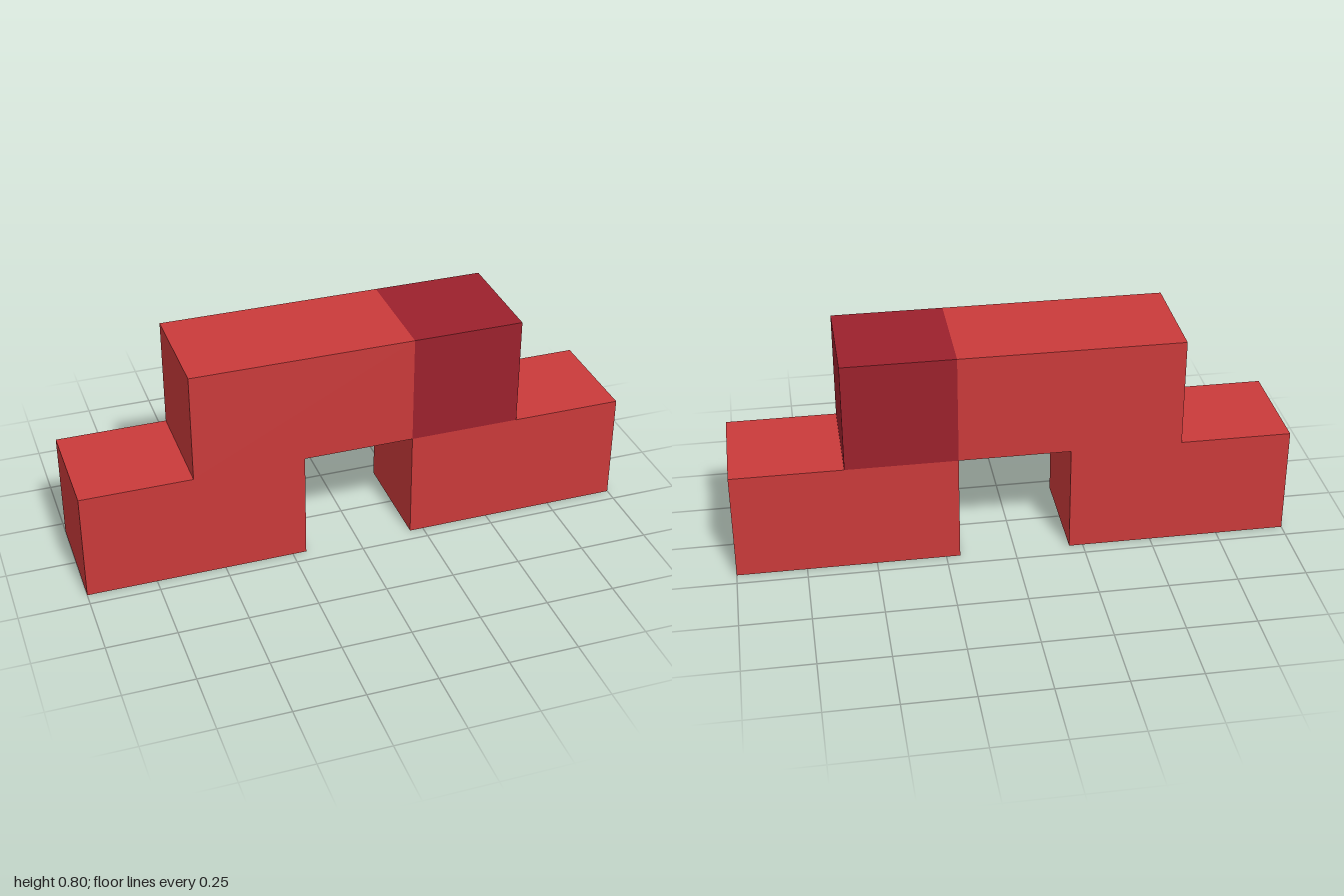
import * as THREE from 'three';

const UNIT = 0.4; // edge length of one cube

export function createModel() {
  const model = new THREE.Group();
  model.name = 'steppedBlockArch';

  const red = new THREE.MeshStandardMaterial({ color: 0xc93a3a });
  red.name = 'red';
  const darkRed = new THREE.MeshStandardMaterial({ color: 0x9b212c });
  darkRed.name = 'darkRed';

  // A row of cubes, centred at x, on the given layer
  const addBlock = (name, cubes, x, layer, material) => {
    const block = new THREE.Mesh(new THREE.BoxGeometry(cubes * UNIT, UNIT, UNIT), material);
    block.name = name;
    block.position.set(x, (layer + 0.5) * UNIT, 0);
    model.add(block);
  };

  // Two feet with a gap between them
  addBlock('leftFoot', 2, 0.6, 0, red);
  addBlock('rightFoot', 2, -0.6, 0, red);

  // Bridge across the feet, ending in a dark cube
  addBlock('bridge', 2, -0.2, 1, red);
  addBlock('bridgeEnd', 1, 0.4, 1, darkRed);

  return model;
}
